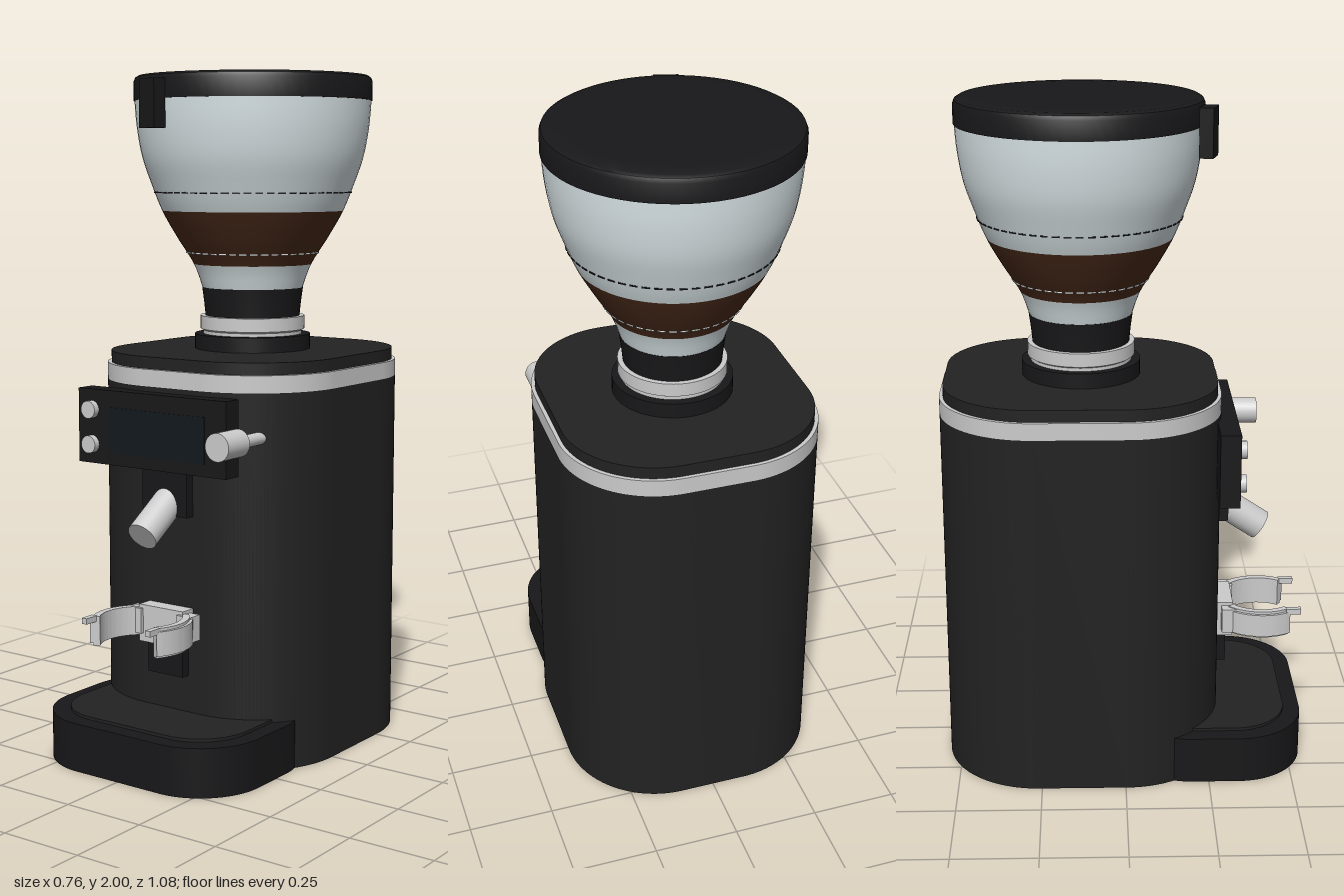
import * as THREE from 'three';
import { toCreasedNormals } from 'three/addons/utils/BufferGeometryUtils.js';

const mat = (color) => new THREE.MeshStandardMaterial({ color, side: THREE.DoubleSide });

export function createModel() {
  const group = new THREE.Group();
  const grey = mat(0xcccccc), black = mat(0x222223), dark = mat(0x18181a);
  const screenMat = mat(0x12181e), glass = mat(0xd9e4e7), brown = mat(0x4a2b1a);

  const add = (name, geometry, material, x = 0, y = 0, z = 0) => {
    const mesh = new THREE.Mesh(geometry, material);
    mesh.name = name;
    mesh.position.set(x, y, z);
    group.add(mesh);
    return mesh;
  };

  // Box given by its limits on each axis
  const box = (name, material, x0, x1, y0, y1, z0, z1) =>
    add(name, new THREE.BoxGeometry(x1 - x0, y1 - y0, z1 - z0), material,
      (x0 + x1) / 2, (y0 + y1) / 2, (z0 + z1) / 2);

  // Upright extrusion of a plan shape (shape y becomes -z)
  const upright = (shape, height) => {
    const g = new THREE.ExtrudeGeometry(shape, { depth: height, bevelEnabled: false, curveSegments: 20 });
    g.rotateX(-Math.PI / 2);
    return toCreasedNormals(g, 0.6);
  };

  const slab = (name, material, w, d, r, y0, y1, z) => {
    const s = new THREE.Shape(), a = w / 2 - r, b = d / 2 - r, q = Math.PI / 2;
    s.absarc(a, b, r, 0, q);
    s.absarc(-a, b, r, q, 2 * q);
    s.absarc(-a, -b, r, 2 * q, 3 * q);
    s.absarc(a, -b, r, 3 * q, 4 * q);
    s.closePath();
    return add(name, upright(s, y1 - y0), material, 0, y0, z);
  };

  const turned = (name, material, points) =>
    add(name, toCreasedNormals(new THREE.LatheGeometry(
      points.map(([r, y]) => new THREE.Vector2(r, y)), 64), 0.6), material, 0, 0, -0.125);

  // Housing
  slab('body', black, 0.76, 0.825, 0.28, 0, 1.1, -0.127);
  slab('trimBand', grey, 0.76, 0.825, 0.28, 1.1, 1.15, -0.127);
  slab('topPlate', black, 0.738, 0.803, 0.27, 1.15, 1.185, -0.127);

  // Tray
  slab('tray', dark, 0.7, 0.54, 0.2, 0, 0.143, 0.27);
  slab('trayInsert', black, 0.6, 0.44, 0.16, 0.143, 0.152, 0.27);

  // Hopper neck
  turned('neckFlange', dark, [[0, 1.185], [0.175, 1.185], [0.175, 1.23], [0, 1.23]]);
  turned('neckRing', grey, [[0.15, 1.225], [0.15, 1.24], [0.158, 1.245], [0.158, 1.285], [0, 1.285]]);
  turned('neckCollar', dark, [[0.143, 1.285], [0.147, 1.325], [0.153, 1.37], [0, 1.37]]);

  // Hopper bowl, split by height into clear and filled bands
  const bowl = new THREE.SplineCurve([
    [0.152, 1.37], [0.178, 1.44], [0.228, 1.52], [0.273, 1.6], [0.305, 1.68],
    [0.332, 1.76], [0.348, 1.85], [0.355, 1.94],
  ].map(([r, y]) => new THREE.Vector2(r, y)));
  const band = (name, material, u0, u1, n) => turned(name, material,
    Array.from({ length: n + 1 }, (_, i) => {
      const p = bowl.getPoint(u0 + (u1 - u0) * i / n);
      return [p.x, p.y];
    }));
  band('hopperBase', glass, 0, 1 / 7, 5);
  band('coffeeFill', brown, 1 / 7, 3 / 7, 10);
  band('hopperBowl', glass, 3 / 7, 1, 20);

  // Dashed marks around the bowl
  const dashes = (name, material, r, y, n) => {
    const ring = new THREE.Group();
    ring.name = name;
    const g = new THREE.BoxGeometry(0.022, 0.004, 0.004);
    for (let i = 0; i < n; i++) {
      const a = i / n * Math.PI * 2, m = new THREE.Mesh(g, material);
      m.position.set(Math.sin(a) * r, y, Math.cos(a) * r - 0.125);
      m.rotation.y = a;
      ring.add(m);
    }
    group.add(ring);
  };
  dashes('upperMark', dark, 0.296, 1.655, 56);
  dashes('lowerMark', glass, 0.199, 1.475, 40);

  // Lid and its clip
  turned('lid', dark, [[0, 1.925], [0.357, 1.925], [0.357, 1.98], [0.352, 1.992], [0.342, 1.998], [0.3, 2], [0, 2]]);
  const clip = add('lidClip', new THREE.BoxGeometry(0.072, 0.14, 0.04), dark, -0.098, 1.91, 0.237);
  clip.rotation.y = -0.27;

  // Control panel
  box('controlPanel', dark, -0.307, 0.23, 0.865, 1.085, 0.27, 0.33);
  box('screen', screenMat, -0.19, 0.155, 0.9, 1.035, 0.325, 0.332);
  const peg = (name, r, x, y, z0, z1) => {
    const g = new THREE.CylinderGeometry(r, r, z1 - z0, 32);
    g.rotateX(Math.PI / 2);
    add(name, g, grey, x, y, (z0 + z1) / 2);
  };
  for (const y of [0.922, 1.025]) peg('button', 0.026, -0.256, y, 0.325, 0.35);
  peg('knobShaft', 0.018, 0.268, 0.972, 0.2, 0.325);
  peg('knob', 0.04, 0.268, 0.972, 0.325, 0.425);

  // Spout
  box('spoutMount', dark, -0.08, 0.08, 0.735, 0.865, 0.25, 0.315);
  const spout = add('spout', new THREE.CylinderGeometry(0.046, 0.046, 0.2, 32), grey, 0, 0.745, 0.335);
  spout.rotation.x = Math.PI / 2 + 0.585;

  // Portafilter fork
  box('forkMount', dark, -0.063, 0.063, 0.262, 0.4, 0.25, 0.315);
  box('forkBracket', grey, -0.08, 0.08, 0.355, 0.465, 0.27, 0.335);
  const arc = (r0, r1, a0, a1) => {
    const s = new THREE.Shape();
    s.absarc(0, 0, r1, a0, a1, false);
    s.absarc(0, 0, r0, a1, a0, true);
    s.closePath();
    return s;
  };
  for (const side of [-1, 1]) {
    const turn = side > 0 ? 0 : Math.PI;
    const a0 = turn - (side > 0 ? 0.6 : 0.85), a1 = turn + (side > 0 ? 0.85 : 0.6);
    add('forkArm', upright(arc(0.118, 0.138, a0, a1), 0.085), grey, 0, 0.373, 0.425);
    add('forkRim', upright(arc(0.132, 0.147, a0, a1), 0.07), grey, 0, 0.38, 0.425);
    box('forkTip', grey, side * 0.115 - 0.009, side * 0.115 + 0.009, 0.443, 0.46, 0.495, 0.54);
    box('forkShoulder', grey, side * 0.09 - 0.025, side * 0.09 + 0.025, 0.38, 0.455, 0.3, 0.345);
  }
  return group;
}
